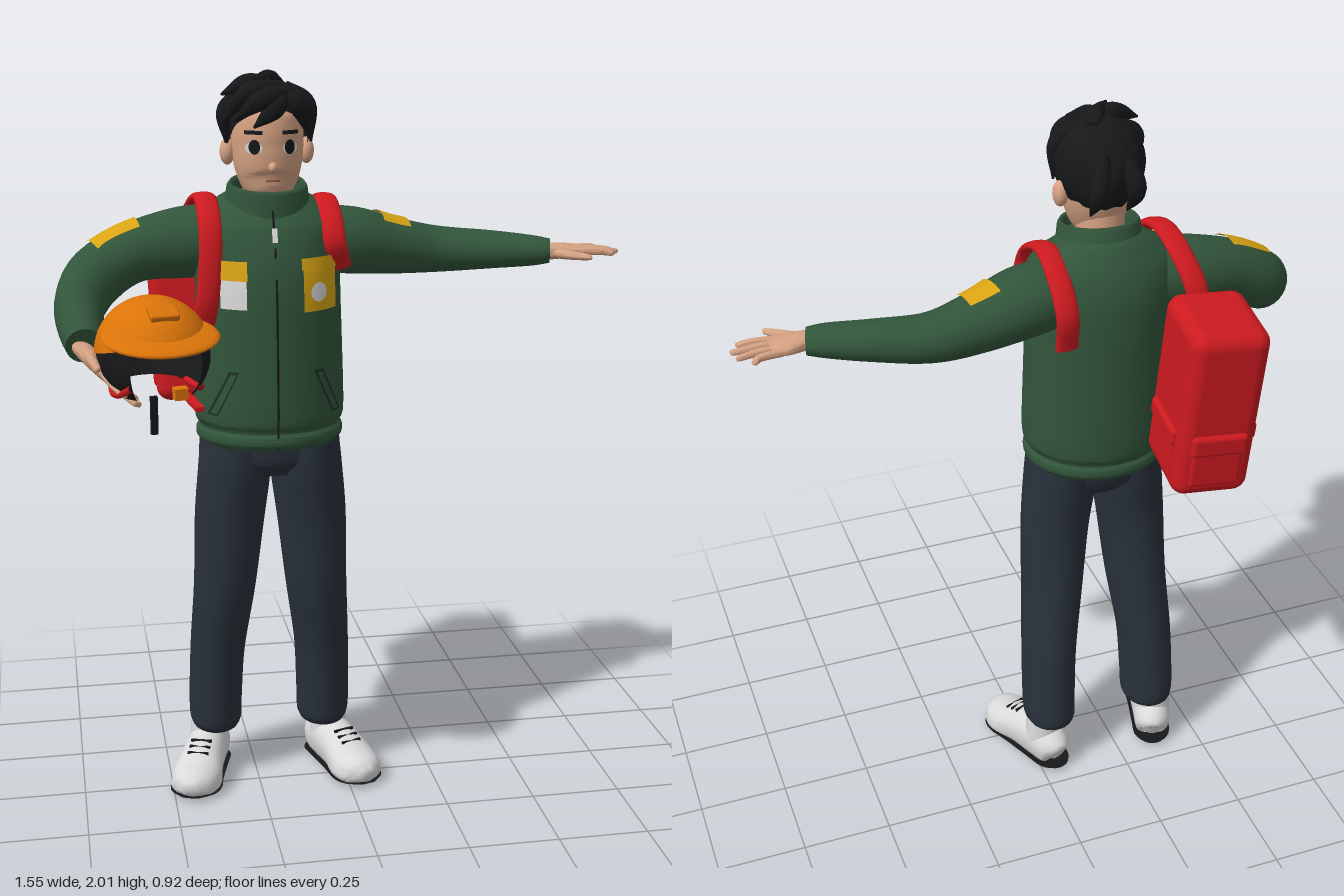
import * as THREE from 'three';
import { mergeVertices, toCreasedNormals } from 'three/addons/utils/BufferGeometryUtils.js';
import { RoundedBoxGeometry } from 'three/addons/geometries/RoundedBoxGeometry.js';

const V = (x, y, z) => new THREE.Vector3(x, y, z);
const CX = -0.205; // body centre line

// Surface grid: f(u, row) -> point, front side along d(row) x d(u)
function grid(nu, nv, f) {
  const pos = [], idx = [];
  for (let j = 0; j <= nv; j++) for (let i = 0; i <= nu; i++) pos.push(...f(i / nu, j).toArray());
  for (let j = 0; j < nv; j++) for (let i = 0; i < nu; i++) {
    const a = j * (nu + 1) + i, b = a + nu + 1;
    idx.push(a, b, b + 1, a, b + 1, a + 1);
  }
  let g = new THREE.BufferGeometry();
  g.setAttribute('position', new THREE.Float32BufferAttribute(pos, 3));
  g.setIndex(idx);
  g = mergeVertices(g, 1e-5);
  return toCreasedNormals(g, 1.0);
}

// Swept surface through sections [x, y, z, radiusA, radiusB]
function sweep(sections, ref) {
  const path = new THREE.CatmullRomCurve3(sections.map(s => V(s[0], s[1], s[2])), false, 'catmullrom', 0.5);
  const radii = new THREE.CatmullRomCurve3(sections.map(s => V(s[3], s[4], 0)), false, 'catmullrom', 0.5);
  const at = v => ({ c: path.getPoint(v), r: radii.getPoint(v) });
  const point = (u, v, off = 0) => {
    const { c, r } = at(v), t = path.getTangent(v), th = u * Math.PI * 2;
    const side = t.clone().cross(ref).normalize(), up = side.clone().cross(t).normalize();
    return c.addScaledVector(side, Math.cos(th) * (r.x + off)).addScaledVector(up, Math.sin(th) * (r.y + off));
  };
  // front z of an upright sweep at x, y
  const frontZ = (x, y) => {
    let lo = 0, hi = 1;
    for (let i = 0; i < 25; i++) { const m = (lo + hi) / 2; if (at(m).c.y < y) lo = m; else hi = m; }
    const { c, r } = at(lo);
    return c.z + r.y * Math.sqrt(Math.max(0, 1 - ((x - c.x) / r.x) ** 2));
  };
  return { at, point, frontZ };
}
const loft = (s, nu = 28, rows = 40) => grid(nu, rows + 2, (u, k) =>
  k === 0 ? s.at(0).c : k === rows + 2 ? s.at(1).c : s.point(u, (k - 1) / rows));
const patch = (s, u0, u1, v0, v1) => grid(10, 8, (u, k) => s.point(u0 + (u1 - u0) * u, v0 + (v1 - v0) * k / 8, 0.006));
const X = V(1, 0, 0), Y = V(0, 1, 0), Z = V(0, 0, 1);

// Thin details laid on the front of an upright sweep
const plate = (s, x, y, w, h, skew = 0, off = 0.006) => grid(6, 6, (u, k) => {
  const px = x + w * (0.5 - u) + skew * (k / 6 - 0.5), py = y + h * (k / 6 - 0.5);
  return V(px, py, s.frontZ(px, py) + off);
});
const disc = (s, x, y, rx, ry, off = 0.006) => grid(20, 3, (u, k) => {
  const px = x + Math.cos(u * 2 * Math.PI) * rx * k / 3, py = y + Math.sin(u * 2 * Math.PI) * ry * k / 3;
  return V(px, py, s.frontZ(px, py) + off);
});

export function createModel() {
  const mat = (name, color, side = THREE.FrontSide) => {
    const m = new THREE.MeshStandardMaterial({ color, side });
    m.name = name;
    return m;
  };
  const D = THREE.DoubleSide;
  const green = mat('jacketGreen', 0x32553b, D), darkGreen = mat('seamGreen', 0x1d3324, D);
  const navy = mat('trouserNavy', 0x29313b), red = mat('packRed', 0xcc1a1f), orange = mat('helmetOrange', 0xdb7409, D);
  const skin = mat('skin', 0xd6a283), black = mat('black', 0x17181a, D), white = mat('white', 0xdadada, D);
  const yellow = mat('patchYellow', 0xd9a414, D), lip = mat('lip', 0x9a5f4e, D);

  const model = new THREE.Group();
  const add = (name, geo, m, parent = model) => {
    const mesh = new THREE.Mesh(geo, m);
    mesh.name = name;
    parent.add(mesh);
    return mesh;
  };
  const sub = name => { const g = new THREE.Group(); g.name = name; model.add(g); return g; };

  // Jacket
  const torso = sweep([
    [CX, 1.025, -0.025, 0.188, 0.165], [CX, 1.04, -0.025, 0.2, 0.178], [CX, 1.06, -0.025, 0.2, 0.178],
    [CX, 1.075, -0.025, 0.192, 0.17], [CX, 1.11, -0.025, 0.204, 0.18], [CX, 1.3, -0.025, 0.2, 0.181],
    [CX, 1.45, -0.027, 0.196, 0.18], [CX, 1.55, -0.035, 0.2, 0.168], [CX, 1.615, -0.037, 0.2, 0.148],
    [CX, 1.655, -0.035, 0.165, 0.125], [CX, 1.69, -0.03, 0.105, 0.105]], Z);
  add('jacketBody', loft(torso, 40, 70), green);
  const collar = add('collar', new THREE.LatheGeometry([[0.125, -0.02], [0.115, 0.02], [0.107, 0.075], [0.1, 0.085],
    [0.092, 0.075], [0.088, 0]].map(p => new THREE.Vector2(...p)), 32), green);
  collar.position.set(CX, 1.64, -0.025);
  collar.rotation.x = 0.16;
  const leftSleeve = sweep([[-0.1, 1.56, -0.06, 0.09, 0.085], [0.02, 1.553, -0.078, 0.1, 0.092],
    [0.15, 1.53, -0.1, 0.085, 0.078], [0.28, 1.515, -0.11, 0.07, 0.064], [0.42, 1.515, -0.075, 0.06, 0.053],
    [0.53, 1.515, -0.036, 0.053, 0.042], [0.58, 1.515, -0.022, 0.044, 0.033]], Y);
  const rightSleeve = sweep([[-0.3, 1.57, -0.05, 0.09, 0.09], [-0.42, 1.56, -0.07, 0.096, 0.096],
    [-0.56, 1.537, -0.06, 0.085, 0.08], [-0.66, 1.48, -0.04, 0.08, 0.08], [-0.708, 1.42, 0.04, 0.067, 0.075],
    [-0.71, 1.375, 0.12, 0.06, 0.065], [-0.705, 1.345, 0.2, 0.048, 0.05]], Y);
  add('leftSleeve', loft(leftSleeve), green);
  add('rightSleeve', loft(rightSleeve), green);
  add('leftSleevePatch', patch(leftSleeve, 0.14, 0.31, 0.26, 0.37), yellow);
  add('rightSleevePatch', patch(rightSleeve, 0.19, 0.35, 0.3, 0.44), yellow);

  // Jacket front details
  add('zip', plate(torso, CX, 1.345, 0.006, 0.63, 0, 0.004), black);
  add('zipPull', plate(torso, CX, 1.6, 0.014, 0.035, 0, 0.009), white);
  add('leftBadge', plate(torso, -0.085, 1.465, 0.095, 0.13), yellow);
  add('leftBadgeFlap', plate(torso, -0.085, 1.525, 0.105, 0.03, 0, 0.012), yellow);
  add('leftBadgeDisc', disc(torso, -0.09, 1.45, 0.023, 0.025, 0.01), white);
  add('rightBadge', plate(torso, -0.315, 1.46, 0.065, 0.1), white);
  add('rightBadgeFlap', plate(torso, -0.318, 1.51, 0.075, 0.05, 0, 0.011), yellow);
  for (const s of [-1, 1]) {
    add('pocketSeam', plate(torso, CX + s * 0.14, 1.18, 0.026, 0.125, -s * 0.055, 0.004), darkGreen);
    add('pocketWelt', plate(torso, CX + s * 0.14, 1.18, 0.015, 0.112, -s * 0.05, 0.009), green);
  }

  // Trousers
  add('hips', loft(sweep([[CX, 0.93, -0.02, 0.12, 0.09], [CX, 0.97, -0.022, 0.19, 0.116],
    [CX, 1.05, -0.022, 0.192, 0.125]], Z)), navy);
  for (const s of [-1, 1]) {
    const side = s > 0 ? 'left' : 'right';
    add(side + 'TrouserLeg', loft(sweep([
      [0.157, 0.145, -0.11, 0.066, 0.08], [0.157, 0.17, -0.108, 0.074, 0.094], [0.157, 0.24, -0.1, 0.076, 0.096],
      [0.15, 0.4, -0.08, 0.078, 0.099], [0.13, 0.6, -0.045, 0.087, 0.104], [0.115, 0.8, -0.025, 0.097, 0.101],
      [0.1, 0.94, -0.02, 0.1, 0.115], [0.095, 1.03, -0.022, 0.096, 0.12],
    ].map(p => [CX + s * p[0], ...p.slice(1)]), Z), 24, 40), navy);

    // Shoes, built heel to toe and turned outwards
    const shoe = sub(side + 'Shoe');
    shoe.position.set(CX + s * 0.2, 0, -0.05);
    shoe.rotation.y = s * 0.33;
    const last = sweep([[0, 0.05, -0.145, 0.02, 0.03], [0, 0.06, -0.125, 0.05, 0.055], [0, 0.07, -0.06, 0.057, 0.07],
      [0, 0.062, 0.02, 0.063, 0.06], [0, 0.045, 0.09, 0.07, 0.048], [0, 0.04, 0.14, 0.057, 0.04],
      [0, 0.036, 0.17, 0.022, 0.02]], Y);
    const shaped = (lo, hi, grow) => grid(24, 30, (u, k) => {
      const p = k === 0 ? last.at(0).c : k === 30 ? last.at(1).c : last.point(u, (k - 1) / 28, grow);
      const low = Math.max(0, 0.04 - p.y);
      p.x *= 1 + low * 9;
      p.y = Math.min(hi, Math.max(lo, p.y));
      return p;
    });
    add('upper', shaped(0.012, 1, 0), white, shoe);
    add('sole', shaped(0, 0.013, 0.001), black, shoe);
    const ankle = add('ankle', new THREE.CylinderGeometry(0.05, 0.056, 0.09, 20), white, shoe);
    ankle.position.set(0, 0.125, -0.07);
    for (let i = 0; i < 3; i++) {
      const lace = add('lace', new THREE.BoxGeometry(0.06, 0.007, 0.007), black, shoe);
      lace.position.set(0, 0.12 - i * 0.009, 0.025 + i * 0.022);
    }
  }

  // Head
  const head = sweep([[CX, 1.685, 0.045, 0.028, 0.028], [CX, 1.7, 0.037, 0.055, 0.05], [CX, 1.73, 0.02, 0.076, 0.077],
    [CX, 1.77, 0.008, 0.089, 0.092], [CX, 1.81, 0, 0.094, 0.1], [CX, 1.85, -0.005, 0.096, 0.106],
    [CX, 1.9, -0.01, 0.092, 0.104], [CX, 1.94, -0.01, 0.07, 0.08]], Z);
  add('head', loft(head), skin);
  const neck = add('neck', new THREE.CylinderGeometry(0.06, 0.068, 0.14, 24), skin);
  neck.position.set(CX, 1.7, -0.025);
  const ball = (name, m, x, y, z, sx, sy, sz) => {
    const b = add(name, new THREE.SphereGeometry(1, 20, 14), m);
    b.position.set(x, y, z);
    b.scale.set(sx, sy, sz);
    return b;
  };
  ball('nose', skin, CX, 1.772, 0.103, 0.012, 0.014, 0.018);
  add('mouth', plate(head, CX, 1.738, 0.036, 0.006, 0, 0.003), lip);
  for (const s of [-1, 1]) {
    ball('ear', skin, CX + s * 0.105, 1.805, -0.01, 0.02, 0.035, 0.024);
    add('eyeWhite', disc(head, CX + s * 0.047, 1.822, 0.021, 0.016, 0.003), white);
    add('iris', disc(head, CX + s * 0.046, 1.824, 0.014, 0.019, 0.005), black);
    add('eyebrow', plate(head, CX + s * 0.048, 1.861, 0.044, 0.01, 0, 0.005), black);
  }

  // Hair: lobed cap, low at the nape, with separate locks
  add('hairCap', grid(72, 20, (u, k) => {
    const az = u * 2 * Math.PI, lim = 1.95 - 0.65 * Math.cos(az) - 0.1 * Math.cos(2 * az);
    const p = lim * k / 20, r = 1 + 0.028 * Math.sin(az * 11 + p * 3) * Math.sin(p);
    const y = Math.cos(p);
    return V(CX + 0.113 * r * Math.sin(p) * Math.sin(az), 1.88 + y * (y > 0 ? 0.112 : 0.14),
      -0.005 + 0.125 * r * Math.sin(p) * Math.cos(az));
  }), black);
  const locks = [ // start, middle, tip offsets from the head centre
    [0.05, 1.96, 0.07, -0.03, 1.95, 0.13, -0.1, 1.89, 0.1], [0.03, 1.97, 0.05, -0.06, 1.965, 0.09, -0.125, 1.88, 0.05],
    [0, 1.98, 0.04, -0.06, 1.985, 0.05, -0.125, 1.955, 0.05], [0.03, 1.95, 0.09, 0, 1.925, 0.13, -0.05, 1.875, 0.115],
    [0.02, 1.96, 0.08, 0.07, 1.93, 0.1, 0.1, 1.85, 0.06], [0.04, 1.97, 0.02, 0.1, 1.93, 0.04, 0.112, 1.83, 0.025],
    [-0.04, 1.96, 0.02, -0.11, 1.92, 0.04, -0.112, 1.83, 0.03], [0.03, 1.975, -0.03, 0.0, 1.995, 0.03, -0.05, 1.995, 0.08],
    [0.03, 1.93, -0.1, 0.05, 1.85, -0.125, 0.05, 1.765, -0.08], [-0.03, 1.93, -0.1, -0.05, 1.85, -0.125, -0.05, 1.765, -0.08]];
  for (const l of locks) add('hairLock', loft(sweep([[CX + l[0], l[1], l[2], 0.02, 0.02],
    [CX + l[3], l[4] - 0.006, l[5] - 0.01, 0.026, 0.022], [CX + l[6], l[7], l[8], 0.003, 0.003]], V(0.3, 0.2, 1)), 12, 14), black);

  // Hands: fingers along +x, palm down, thumb towards +z
  const hand = name => {
    const g = sub(name);
    add('palm', loft(sweep([[-0.04, 0, 0, 0.03, 0.024], [0.02, 0, 0, 0.034, 0.023], [0.07, 0, -0.004, 0.047, 0.019],
      [0.11, 0, -0.006, 0.043, 0.014]], Y), 16, 16), skin, g);
    for (let i = 0; i < 4; i++) {
      const z = 0.028 - i * 0.0225, len = [0.185, 0.205, 0.197, 0.165][i], end = z * 1.45;
      add('finger', loft(sweep([[0.085, 0, z, 0.012, 0.011], [0.14, 0.001, (z + end) / 2, 0.011, 0.01],
        [len - 0.008, -0.004, end, 0.009, 0.008], [len, -0.005, end, 0.003, 0.003]], Y), 10, 12), skin, g);
    }
    add('thumb', loft(sweep([[0.02, -0.003, 0.018, 0.016, 0.014], [0.06, -0.005, 0.055, 0.014, 0.012],
      [0.098, -0.006, 0.088, 0.009, 0.008], [0.105, -0.006, 0.092, 0.003, 0.003]], Y), 10, 12), skin, g);
    return g;
  };
  hand('leftHand').position.set(0.565, 1.515, -0.017);
  const rightHand = hand('rightHand');
  const ax = V(0.55, -0.55, 0.6).normalize(), ay = V(-1, -1, 0).normalize();
  rightHand.quaternion.setFromRotationMatrix(new THREE.Matrix4().makeBasis(ax, ay, ax.clone().cross(ay)));
  rightHand.scale.z = -1;
  rightHand.position.set(-0.7, 1.325, 0.2);

  // Helmet carried under the right arm
  const helmet = sub('helmet');
  helmet.position.set(-0.535, 1.332, 0.25);
  helmet.rotation.set(0.06, 0.18, 0);
  const dome = (az, p, k) => V(0.148 * k * Math.sin(p) * Math.sin(az), 0.145 * k * Math.cos(p), 0.17 * k * Math.sin(p) * Math.cos(az));
  add('shell', grid(48, 16, (u, j) => {
    const az = u * 2 * Math.PI;
    return dome(az, (1.5 - 0.32 * Math.cos(az)) * j / 16, 1);
  }), orange, helmet);
  add('lining', grid(40, 14, (u, j) => dome(0.7 + u * (2 * Math.PI - 1.4), 0.15 + 2.15 * j / 14, 0.965)), black, helmet);
  const brim = add('brim', new THREE.SphereGeometry(1, 32, 14), orange, helmet);
  brim.scale.set(0.15, 0.02, 0.13);
  brim.position.set(0, 0.062, 0.075);
  brim.rotation.x = 0.15;
  const vent = add('vent', new RoundedBoxGeometry(0.075, 0.02, 0.05, 2, 0.006), orange, helmet);
  vent.position.set(0.005, 0.124, 0.09);
  vent.rotation.x = 0.42;
  for (const s of [-1, 1]) {
    const rim = [0.7, 1.1, 1.5, 2.0].map((az, i) => dome(s * az, [1.95, 2.2, 2.3, 2.3][i], 0.98));
    add('trim', new THREE.TubeGeometry(new THREE.CatmullRomCurve3(rim), 20, 0.009, 8), red, helmet);
  }
  const bar = (name, m, x, y, z, w, h, d) => add(name, new THREE.BoxGeometry(w, h, d), m, helmet).position.set(x, y, z);
  bar('hangingStrap', black, -0.015, -0.15, 0.05, 0.018, 0.1, 0.012);
  bar('chinStrap', red, 0.085, -0.122, 0.06, 0.022, 0.012, 0.13);
  bar('buckle', orange, 0.06, -0.105, 0.03, 0.035, 0.03, 0.03);

  // Backpack hanging off the right shoulder
  const pack = sub('backpack');
  pack.position.set(-0.395, 1.33, -0.318);
  pack.rotation.set(-0.06, -0.1, 0.05);
  add('packBody', new RoundedBoxGeometry(0.21, 0.49, 0.25, 5, 0.04), red, pack);
  const pocket = (x, y, z, w, h, d) => add('packPocket', new RoundedBoxGeometry(w, h, d, 3, 0.012), red, pack).position.set(x, y, z);
  pocket(0, -0.075, -0.115, 0.15, 0.06, 0.05);
  pocket(0, -0.145, -0.115, 0.14, 0.12, 0.035);
  for (const s of [-1, 1]) {
    pocket(s * 0.1, -0.075, 0, 0.036, 0.05, 0.17);
    pocket(s * 0.1, -0.145, 0, 0.024, 0.12, 0.16);
  }
  const strap = (name, pts) => add(name, loft(sweep(pts.map(p => [...p, 0.012, 0.031]), X), 14, 40), red);
  strap('leftStrap', [[-0.06, 1.45, -0.175], [-0.055, 1.55, -0.19], [-0.05, 1.635, -0.135], [-0.048, 1.675, -0.05],
    [-0.045, 1.64, 0.045], [-0.04, 1.57, 0.085], [-0.02, 1.5, 0.05]]);
  strap('rightStrap', [[-0.42, 1.46, -0.21], [-0.405, 1.57, -0.2], [-0.385, 1.65, -0.13], [-0.372, 1.685, -0.035],
    [-0.368, 1.64, 0.06], [-0.37, 1.54, 0.095], [-0.385, 1.4, 0.095], [-0.41, 1.28, 0.03], [-0.42, 1.2, -0.08], [-0.41, 1.16, -0.21]]);

  return model;
}
